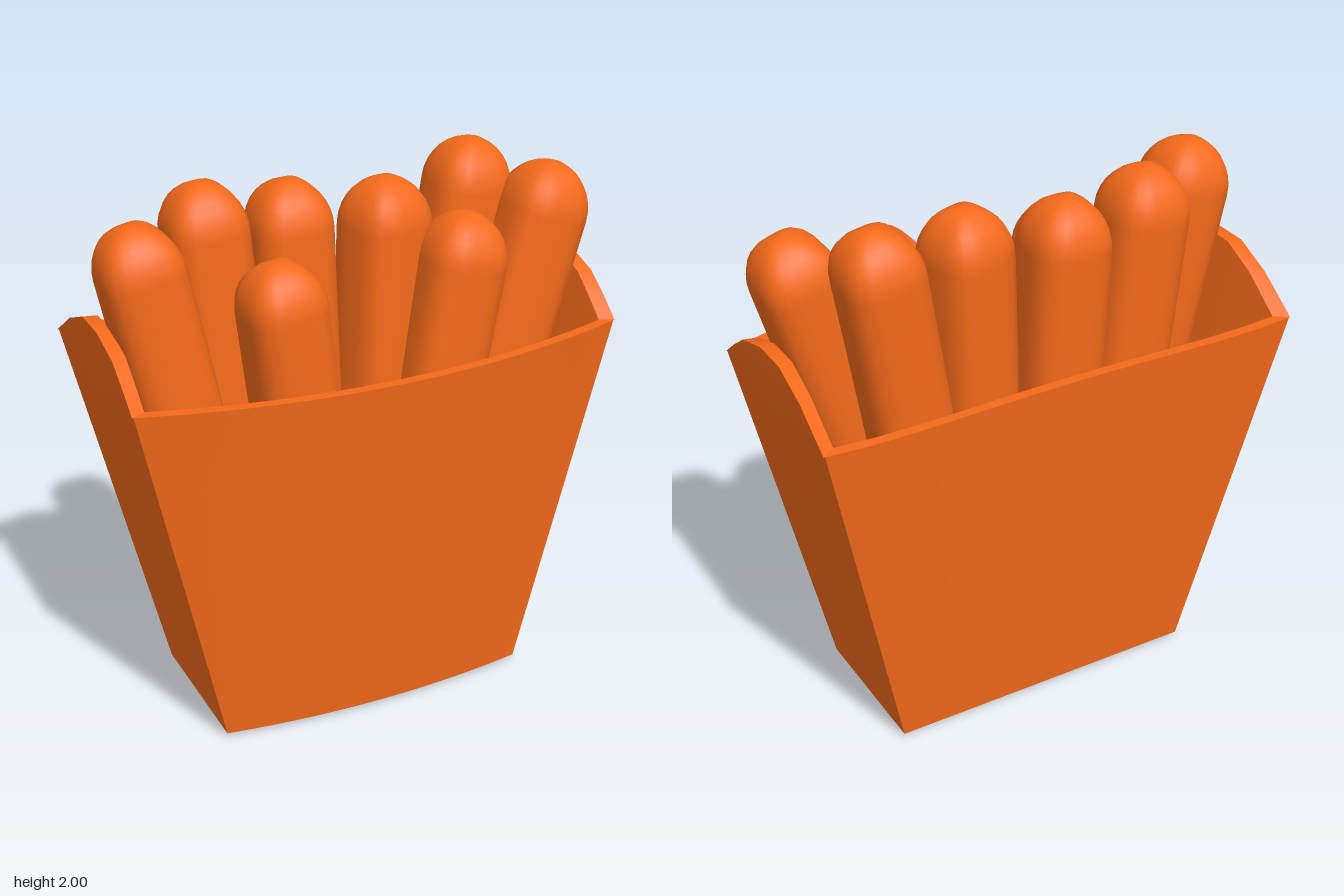
import * as THREE from 'three';
import { mergeVertices, toCreasedNormals } from 'three/addons/utils/BufferGeometryUtils.js';

const material = new THREE.MeshStandardMaterial({ color: 0xf56a1b });

// Outline of the carton, anticlockwise from above: front, left side, back, right side.
// k blends from base (0) to rim (1); each point also carries the height of the rim there.
function outline(k) {
  const lerp = THREE.MathUtils.lerp;
  const halfX = lerp(0.6, 0.913, k);
  const front = (u) => lerp(0.3 - 0.05 * u * u, 0.47 - 0.15 * u * u, k);
  const back = (u) => lerp(-0.32, -0.462 - 0.06 * u * u * (1 - u * u), k);
  const arch = [1.41, 1.48, 1.54, 1.583, 1.583, 1.52, 1.41];
  const steps = [0, 0.11, 0.22, 0.41, 0.6, 0.79, 1];
  const N = 12, points = [];
  const add = (x, z, rim) => points.push({ x, z, rim });
  for (let i = 0; i < N; i++) {
    const u = (2 * i) / N - 1;
    add(u * halfX, front(u), 1.41);
  }
  for (let i = 0; i < 6; i++) add(halfX, lerp(front(1), back(1), steps[i]), arch[i]);
  for (let i = 0; i < N; i++) {
    const u = 1 - (2 * i) / N;
    add(u * halfX, back(u), 1.41);
  }
  for (let i = 6; i > 0; i--) add(-halfX, lerp(front(1), back(1), steps[i]), arch[i]);
  return points;
}

// Open carton: one continuous skin from under the base, over the rim, down to the inner floor
function makeCarton() {
  const base = outline(0), rim = outline(1);
  const ring = (pts, sx, sz, y) => pts.map((p) => [p.x * sx, y(p), p.z * sz]);
  const rows = [
    ring(base, 0, 0, () => 0),
    ring(base, 0.65, 0.52, () => 0),
    ring(base, 1, 1, () => 0.02),
    ring(rim, 1, 1, () => 1.41),
    ring(rim, 1.006, 1, (p) => p.rim),
    ring(rim, 0.95, 0.92, (p) => p.rim),
    ring(base, 0.93, 0.91, () => 0.06),
    ring(base, 0, 0, () => 0.06),
  ];
  const positions = [];
  const tri = (a, b, c) => {
    const [p, q, r] = [a, b, c].map((v) => new THREE.Vector3(...v));
    if (new THREE.Triangle(p, q, r).getArea() > 1e-7) positions.push(...a, ...b, ...c);
  };
  for (let r = 0; r < rows.length - 1; r++) {
    for (let i = 0; i < base.length; i++) {
      const j = (i + 1) % base.length;
      tri(rows[r][i], rows[r][j], rows[r + 1][j]);
      tri(rows[r][i], rows[r + 1][j], rows[r + 1][i]);
    }
  }
  const geometry = new THREE.BufferGeometry();
  geometry.setAttribute('position', new THREE.Float32BufferAttribute(positions, 3));
  const carton = new THREE.Mesh(toCreasedNormals(geometry, Math.PI / 7), material);
  carton.name = 'carton';
  return carton;
}

// Fry: a capsule pushed out to a rounded-square section, laid between two points
function makeFry(top, bottom, roll) {
  const radius = 0.145, stretch = 1.25;
  const axis = new THREE.Vector3().subVectors(top, bottom);
  const body = axis.length() - 2 * radius * stretch;
  let geometry = new THREE.CapsuleGeometry(radius, body, 8, 24);
  const pos = geometry.attributes.position;
  for (let i = 0; i < pos.count; i++) {
    const x = pos.getX(i), y = pos.getY(i), z = pos.getZ(i);
    const round = Math.hypot(x, z);
    const square = Math.pow(Math.abs(x) ** 3.6 + Math.abs(z) ** 3.6, 1 / 3.6);
    const k = square > 1e-6 ? round / square : 1;
    const cap = Math.max(Math.abs(y) - body / 2, 0);
    pos.setXYZ(i, x * k, Math.sign(y) * (Math.abs(y) + cap * (stretch - 1)), z * k);
  }
  geometry.deleteAttribute('uv');
  geometry.deleteAttribute('normal');
  geometry = mergeVertices(geometry, 1e-5);
  geometry.computeVertexNormals();
  geometry.rotateY(roll);
  const fry = new THREE.Mesh(geometry, material);
  fry.quaternion.setFromUnitVectors(new THREE.Vector3(0, 1, 0), axis.normalize());
  fry.position.addVectors(top, bottom).multiplyScalar(0.5);
  return fry;
}

export function createModel() {
  const model = new THREE.Group();
  model.name = 'friesInCarton';
  model.add(makeCarton());

  // top x, y, z, then bottom x, z, then roll
  const layout = [
    [-0.8, 1.95, 0.02, -0.42, 0.06, 0],
    [-0.475, 1.99, -0.175, -0.32, -0.1, 0],
    [-0.145, 1.95, -0.18, -0.1, -0.11, 0],
    [0.19, 1.945, -0.07, 0.1, -0.02, 0.25],
    [0.59, 2.0, -0.17, 0.26, -0.1, 0],
    [0.81, 1.94, 0.04, 0.26, 0.06, 0],
    [-0.32, 1.775, 0.12, -0.1, 0.08, 0.08],
    [0.425, 1.835, 0.115, 0.12, 0.09, 0],
  ];
  const fries = new THREE.Group();
  fries.name = 'fries';
  layout.forEach(([x, y, z, bx, bz, roll], i) => {
    const fry = makeFry(new THREE.Vector3(x, y, z), new THREE.Vector3(bx, 0.08, bz), roll);
    fry.name = `fry${i + 1}`;
    fries.add(fry);
  });
  model.add(fries);
  return model;
}
